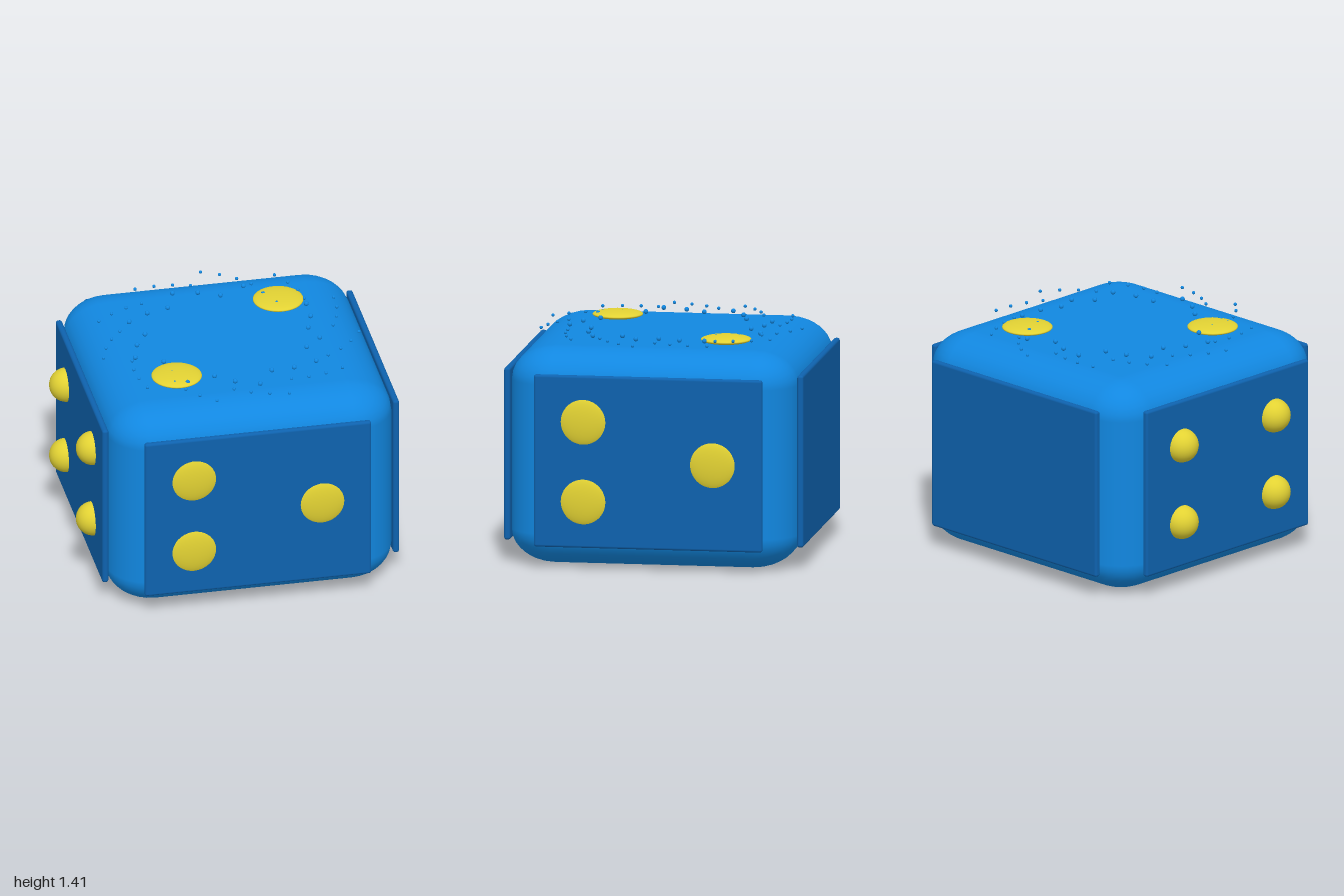
import * as THREE from 'three';
import { RoundedBoxGeometry } from 'three/addons/geometries/RoundedBoxGeometry.js';

const CX = 0.04, CY = 0.68, CZ = -0.01; // centre of the cube body

function material(name, color) {
  const m = new THREE.MeshStandardMaterial({ color });
  m.name = name;
  return m;
}

export function createModel() {
  const root = new THREE.Group();
  root.name = 'diceCube';
  const bodyBlue = material('bright blue', 0x1187e0);
  const panelBlue = material('deep blue', 0x0e62ae);
  const yellow = material('yellow', 0xe2d233);

  const add = (parent, name, geometry, mat, x, y, z) => {
    const mesh = new THREE.Mesh(geometry, mat);
    mesh.name = name;
    mesh.position.set(x, y, z);
    parent.add(mesh);
    return mesh;
  };
  const group = (name) => {
    const g = new THREE.Group();
    g.name = name;
    root.add(g);
    return g;
  };

  // Rounded body, squashed in height
  const bodyGeo = new RoundedBoxGeometry(1.8, 1.8, 1.8, 4, 0.28);
  bodyGeo.scale(1, 1.36 / 1.8, 1);
  add(root, 'body', bodyGeo, bodyBlue, CX, CY, CZ);

  // Thin side panels
  const panels = group('sidePanels');
  const panelZ = new RoundedBoxGeometry(1.43, 1.08, 0.04, 2, 0.016);
  const panelX = new RoundedBoxGeometry(0.04, 1.08, 1.43, 2, 0.016);
  for (const s of [1, -1]) {
    add(panels, s > 0 ? 'frontPanel' : 'backPanel', panelZ, panelBlue, CX, CY, CZ + s * 0.918);
    add(panels, s > 0 ? 'leftPanel' : 'rightPanel', panelX, panelBlue, CX + s * 0.918, CY, CZ);
  }

  // Flattened pips: three on the front, three on the left, two on top
  const pips = group('pips');
  const lens = (name, x, y, z, sx, sy, sz) => {
    const geo = new THREE.SphereGeometry(1, 32, 20);
    geo.scale(sx, sy, sz);
    add(pips, name, geo, yellow, x, y, z);
  };
  for (const [u, v] of [[-1, 1], [-1, -1], [1, 0]]) {
    const y = CY + v * 0.25;
    lens('frontPip', CX + u * 0.405, y, 0.911, 0.155, 0.155, 0.038);
    lens('leftPip', 0.962, y, CZ - u * 0.405, 0.038, 0.155, 0.155);
  }
  for (const s of [1, -1]) {
    lens('topPip', CX + s * 0.405, 1.384, CZ - s * 0.405, 0.157, 0.026, 0.157);
  }

  // Four round pips on the right
  const ball = new THREE.SphereGeometry(0.107, 32, 20);
  for (const sy of [1, -1]) {
    for (const sz of [1, -1]) {
      add(pips, 'rightPip', ball, yellow, -0.893, CY + sy * 0.25, CZ + sz * 0.405);
    }
  }

  // Two zigzag rings of beads hovering over the top
  const beadRing = (name, count, radii, size) => {
    const ring = group(name);
    const geo = new THREE.SphereGeometry(size, 10, 8);
    for (let i = 1; i <= count; i++) {
      const a = (i / count) * Math.PI * 2;
      const r = radii[i % radii.length];
      add(ring, 'bead', geo, bodyBlue, CX + r * Math.cos(a), 1.395, CZ + r * Math.sin(a));
    }
  };
  beadRing('innerBeads', 26, [0.632, 0.571, 0.51], 0.015);
  beadRing('outerBeads', 44, [0.668, 0.815, 0.767, 0.718], 0.0105);

  return root;
}
